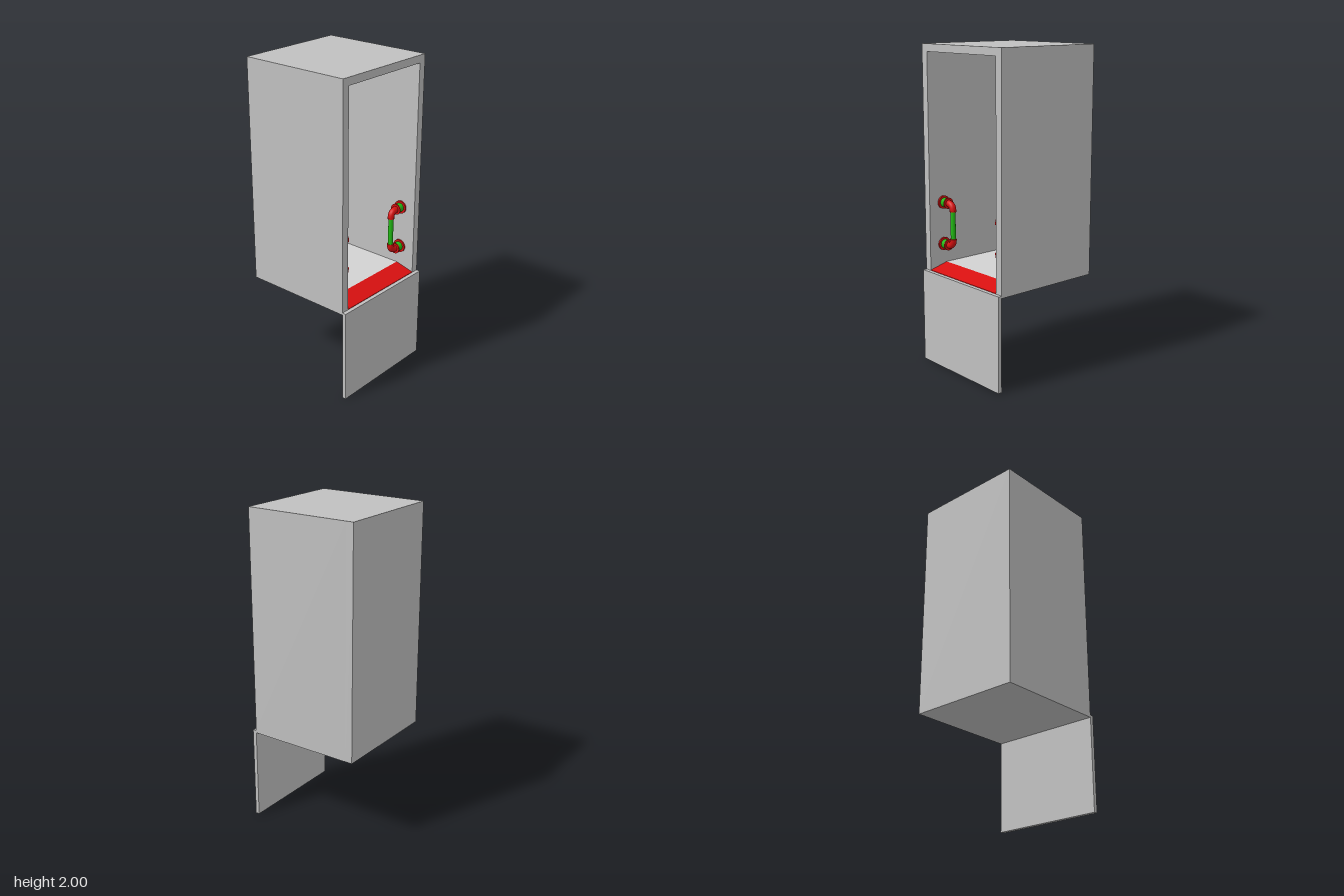
import * as THREE from 'three';

const mat = (name, color) => Object.assign(new THREE.MeshStandardMaterial({ color }), { name });

export function createModel() {
  const model = new THREE.Group();
  model.name = 'openCabin';
  const grey = mat('wall grey', 0xc0c0c0);
  const pale = mat('floor pale grey', 0xd2d2d2);
  const red = mat('red', 0xd81010);
  const green = mat('green', 0x22bb14);

  const add = (parent, name, geometry, material) => {
    const mesh = new THREE.Mesh(geometry, material);
    mesh.name = name;
    parent.add(mesh);
    return mesh;
  };
  // Box given by its two extreme corners
  const box = (name, a, b, material) => {
    const g = new THREE.BoxGeometry(b[0] - a[0], b[1] - a[1], b[2] - a[2]);
    g.translate((a[0] + b[0]) / 2, (a[1] + b[1]) / 2, (a[2] + b[2]) / 2);
    return add(model, name, g, material);
  };
  const polygon = (pts) => new THREE.Shape(pts.map(([x, y]) => new THREE.Vector2(x, y)));

  const W = 0.363, IN = 0.315, BOTTOM = 0.595, BACK = -0.375, FRONT = 0.35, INNER_BACK = -0.33;

  // Side walls and roof as one arch-shaped frame
  const frame = new THREE.ExtrudeGeometry(polygon([
    [-W, BOTTOM], [-IN, BOTTOM], [-IN, 1.953], [IN, 1.953],
    [IN, BOTTOM], [W, BOTTOM], [W, 2], [-W, 2],
  ]), { depth: FRONT - INNER_BACK, bevelEnabled: false });
  frame.translate(0, 0, INNER_BACK);
  add(model, 'wallsAndRoof', frame, grey);
  box('backWall', [-W, BOTTOM, BACK], [W, 2, INNER_BACK], grey);
  box('base', [-W, 0.58, BACK], [W, BOTTOM, FRONT], grey);

  // Floor with a sloping threshold in front, and the lowered front panel
  box('floor', [-IN, BOTTOM, INNER_BACK], [IN, 0.63, 0.225], pale);
  const ramp = new THREE.ExtrudeGeometry(polygon([
    [0.225, BOTTOM], [FRONT, BOTTOM], [FRONT, 0.598], [0.225, 0.63],
  ]), { depth: IN * 2, bevelEnabled: false });
  ramp.translate(0, 0, -IN).rotateY(-Math.PI / 2);
  add(model, 'thresholdRamp', ramp, red);
  box('frontPanel', [-W, 0, FRONT], [W, 0.595, 0.375], grey);

  // Pipe handles, one on each side wall
  const PIPE_X = 0.217, ARM_Y = 0.134, BEND = 0.043;
  for (const side of [-1, 1]) {
    const handle = new THREE.Group();
    handle.name = side > 0 ? 'leftHandle' : 'rightHandle';
    handle.position.set(0, 0.887, 0.245);
    model.add(handle);
    add(handle, 'grip', new THREE.CylinderGeometry(0.016, 0.016, 0.19, 20), green);

    for (const end of [-1, 1]) {
      const y = end * ARM_Y;
      // Horizontal ring or sleeve between two distances from the centre
      const sleeve = (name, x0, x1, r, material) => {
        const g = new THREE.CylinderGeometry(r, r, x1 - x0, 24).rotateZ(Math.PI / 2);
        add(handle, name, g, material).position.set(side * (x0 + x1) / 2, y, 0);
      };
      sleeve('wallFlange', 0.305, IN, 0.042, red);
      sleeve('greenCollar', 0.268, 0.305, 0.029, green);
      sleeve('innerFlange', 0.26, 0.268, 0.035, red);

      // Quarter bend from the arm into the upright grip
      const bend = new THREE.CurvePath();
      const v = (x, h) => new THREE.Vector3(side * x, h, 0);
      bend.add(new THREE.QuadraticBezierCurve3(
        v(PIPE_X + BEND, y), v(PIPE_X, y), v(PIPE_X, y - end * BEND)));
      add(handle, 'elbow', new THREE.TubeGeometry(bend, 16, 0.021, 16, false), red);
      add(handle, 'elbowCollar', new THREE.CylinderGeometry(0.022, 0.022, 0.008, 20), red)
        .position.set(side * PIPE_X, y - end * BEND, 0);
    }
    handle.getObjectByName('grip').position.x = side * PIPE_X;
  }
  return model;
}
